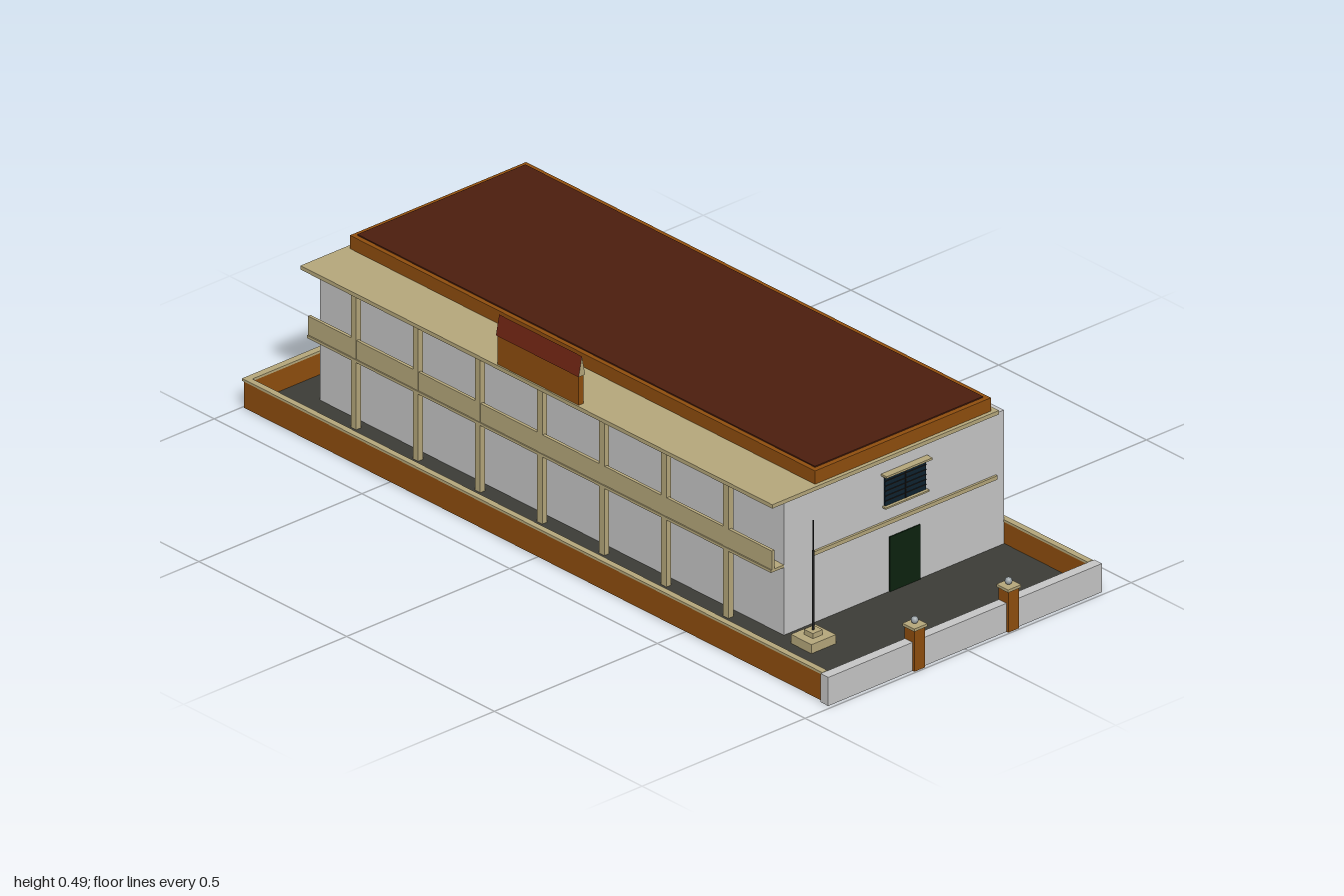
import * as THREE from 'three';

const mat = (name, color, extra = {}) => {
  const m = new THREE.MeshStandardMaterial({ color, ...extra });
  m.name = name;
  return m;
};

export function createModel() {
  const gray = mat('plaster gray', 0xc6c6c6);
  const brown = mat('brick brown', 0x8f4e0e);
  const tan = mat('stone tan', 0xb5a77b);
  const ground = mat('paving dark', 0x3c3c36);
  const roof = mat('roof brown', 0x4c1e0e);
  const red = mat('ridge red', 0x6e2412);
  const navy = mat('glass navy', 0x0e2230);
  const green = mat('door green', 0x0c220f);
  const black = mat('pole black', 0x1c1c1c);
  const silver = mat('lamp silver', 0x98a0a4);

  const model = new THREE.Group();
  model.name = 'hall';
  const add = (name, geometry, material) => {
    const mesh = new THREE.Mesh(geometry, material);
    mesh.name = name;
    model.add(mesh);
    return mesh;
  };
  // Box given by its limits on each axis
  const box = (name, m, x0, x1, y0, y1, z0, z1) => {
    const mesh = add(name, new THREE.BoxGeometry(x1 - x0, y1 - y0, z1 - z0), m);
    mesh.position.set((x0 + x1) / 2, (y0 + y1) / 2, (z0 + z1) / 2);
    return mesh;
  };

  // Yard and perimeter walls
  box('yard', ground, -0.405, 0.405, 0, 0.012, -0.99, 0.97);
  for (const s of [-1, 1]) {
    const a = s < 0 ? -0.413 : 0.401, b = a + 0.012;
    box('sideWall', brown, a, b, 0, 0.068, -0.995, 0.964);
    box('sideWallCap', tan, a - 0.002, b + 0.002, 0.068, 0.074, -1, 0.964);
  }
  box('backWall', brown, -0.413, 0.413, 0, 0.068, -0.996, -0.984);
  box('backWallCap', tan, -0.415, 0.415, 0.068, 0.074, -1, -0.982);
  box('frontWall', gray, -0.42, 0.42, 0, 0.073, 0.964, 0.99);

  // Gate posts with ball lamps
  for (const x of [-0.145, 0.143]) {
    box('gatePost', brown, x - 0.016, x + 0.016, 0, 0.105, 0.962, 0.996);
    box('gatePostCap', tan, x - 0.02, x + 0.02, 0.105, 0.112, 0.96, 1);
    const ball = add('gateLamp', new THREE.SphereGeometry(0.009, 12, 8), silver);
    ball.position.set(x, 0.121, 0.979);
  }

  // Main building and its raised roof
  box('building', gray, -0.275, 0.4, 0.003, 0.354, -0.89, 0.68);
  box('backPanel', brown, -0.175, 0.363, 0.012, 0.35, -0.892, -0.889);
  box('eaves', tan, -0.317, 0.378, 0.353, 0.363, -0.91, 0.687);
  box('parapet', brown, -0.177, 0.363, 0.363, 0.397, -0.897, 0.677);
  box('roofTop', roof, -0.165, 0.35, 0.39, 0.4, -0.885, 0.664);
  box('frontStringCourse', tan, -0.187, 0.375, 0.187, 0.197, 0.675, 0.686);
  box('backStringCourse', tan, -0.187, 0.375, 0.187, 0.197, -0.9, -0.885);

  // Front door and louvred window
  box('door', green, 0.048, 0.141, 0.012, 0.152, 0.678, 0.683);
  box('window', navy, 0.032, 0.157, 0.237, 0.313, 0.678, 0.684);
  for (let i = 1; i < 6; i++) {
    const y = 0.237 + i * 0.0127;
    box('windowSlat', black, 0.032, 0.157, y - 0.001, y + 0.001, 0.683, 0.686);
  }
  box('windowMullion', black, 0.0935, 0.0955, 0.237, 0.313, 0.683, 0.686);
  box('windowSill', tan, 0.027, 0.161, 0.233, 0.237, 0.678, 0.692);
  box('windowLintel', tan, 0.027, 0.161, 0.312, 0.316, 0.678, 0.692);
  box('windowHood', tan, 0.023, 0.164, 0.316, 0.321, 0.678, 0.699);

  // Side gallery: columns, balcony floor and railing
  for (let i = 0; i < 7; i++) {
    const z = -0.735 + i * 0.21;
    box('galleryColumn', tan, -0.313, -0.298, 0.012, 0.354, z - 0.009, z + 0.009);
  }
  box('balconyFloor', tan, -0.315, -0.275, 0.185, 0.192, -0.89, 0.68);
  box('balconyRailing', tan, -0.312, -0.304, 0.192, 0.24, -0.89, 0.68);

  // Gabled crest above the gallery: brown wall, red slopes, tan gable ends
  box('crestWall', brown, -0.313, -0.298, 0.363, 0.437, -0.247, 0.027);
  const gable = new THREE.Shape([
    new THREE.Vector2(-0.01, 0), new THREE.Vector2(0.01, 0), new THREE.Vector2(0, 0.05),
  ]);
  const crest = add('crestRoof',
    new THREE.ExtrudeGeometry(gable, { depth: 0.28, bevelEnabled: false }), [tan, red]);
  crest.position.set(-0.3055, 0.437, -0.25);

  // Flagpole on a stepped plinth
  box('flagpolePlinth', tan, -0.29, -0.215, 0.012, 0.035, 0.72, 0.79);
  box('flagpoleStep', tan, -0.268, -0.238, 0.035, 0.048, 0.74, 0.77);
  const pole = (name, r, y0, y1) => {
    const mesh = add(name, new THREE.CylinderGeometry(r, r, y1 - y0, 8), black);
    mesh.position.set(-0.253, (y0 + y1) / 2, 0.755);
  };
  pole('flagpoleLower', 0.003, 0.048, 0.25);
  pole('flagpoleUpper', 0.002, 0.25, 0.327);

  return model;
}
